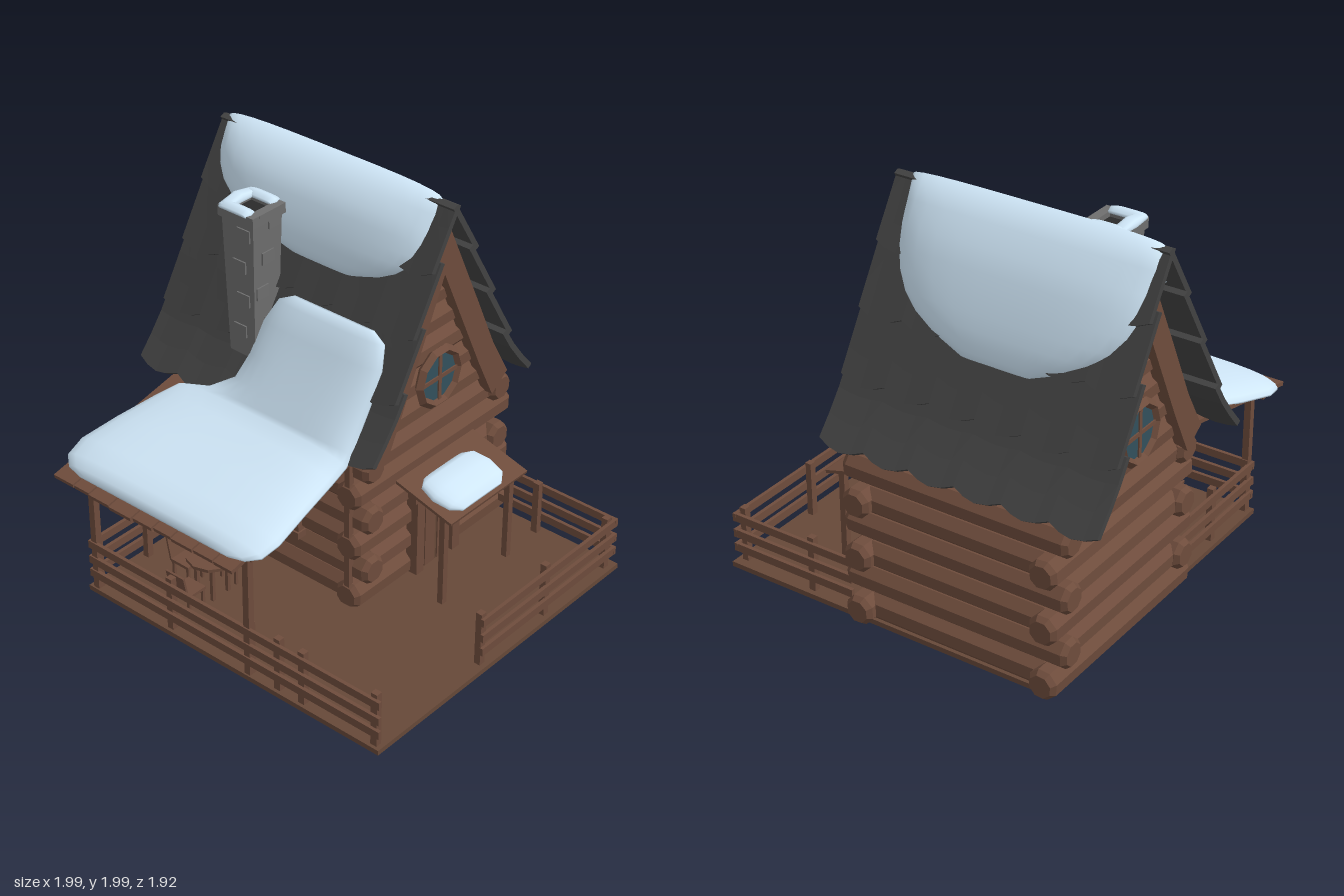
import * as THREE from 'three';

const mat = (color, flatShading = true) => new THREE.MeshStandardMaterial({ color, flatShading, roughness: 0.9 });
const wood = mat(0x6e4c3c), deckWood = mat(0x664838), slate = mat(0x424242), stone = mat(0x6e6e6e);
const soot = mat(0x2a2a2a), glass = mat(0x33505c), snow = mat(0xcfe6f7, false);

let seed = 7;
const rand = () => (seed = (seed * 16807) % 2147483647) / 2147483647;

function add(parent, name, geometry, material, x = 0, y = 0, z = 0) {
  const m = new THREE.Mesh(geometry, material);
  m.name = name;
  m.position.set(x, y, z);
  parent.add(m);
  return m;
}
function group(parent, name) {
  const g = new THREE.Group();
  g.name = name;
  parent.add(g);
  return g;
}
// box given by its min and max on every axis
function box(parent, name, x0, x1, y0, y1, z0, z1, material = wood) {
  return add(parent, name, new THREE.BoxGeometry(x1 - x0, y1 - y0, z1 - z0), material, (x0 + x1) / 2, (y0 + y1) / 2, (z0 + z1) / 2);
}
// eight-sided log with bevelled ends, lying along 'x' or 'z'
function log(parent, axis, length, x, y, z, r = 0.074) {
  const h = length / 2, pts = [[0, -h], [r * 0.75, -h], [r, 0.025 - h], [r, h - 0.025], [r * 0.75, h], [0, h]];
  const g = new THREE.LatheGeometry(pts.map(p => new THREE.Vector2(...p)), 8);
  g.rotateY(Math.PI / 8 + (rand() - 0.5) * 0.2);
  if (axis === 'x') g.rotateZ(Math.PI / 2); else g.rotateX(Math.PI / 2);
  return add(parent, 'log', g, wood, x, y, z);
}
// closed solid through a row of closed rings, capped and wound outward
function loft(rings) {
  const n = rings[0].length, pos = rings.flat(), idx = [];
  const quad = (a, b, c, d) => idx.push(a, b, c, a, c, d);
  for (let i = 0; i < rings.length - 1; i++)
    for (let j = 0; j < n; j++) {
      const k = (j + 1) % n;
      quad(i * n + j, i * n + k, (i + 1) * n + k, (i + 1) * n + j);
    }
  // rings are mirrored strips, so opposite points pair up for the caps
  for (let j = 0; j < n / 2 - 1; j++) {
    const e = (rings.length - 1) * n;
    quad(n - 1 - j, n - 2 - j, j + 1, j);
    quad(e + j, e + j + 1, e + n - 2 - j, e + n - 1 - j);
  }
  let volume = 0;
  for (let i = 0; i < idx.length; i += 3)
    volume += pos[idx[i]].dot(pos[idx[i + 1]].clone().cross(pos[idx[i + 2]]));
  if (volume < 0) idx.reverse();
  const g = new THREE.BufferGeometry().setFromPoints(pos);
  g.setIndex(idx);
  g.computeVertexNormals();
  return g;
}
// snow pillow along a path; stations are [z, y, xLeft, xRight, thickness]
function pillow(stations, across = 14) {
  return loft(stations.map(([z, y, lo, hi, h], i) => {
    const a = stations[Math.max(0, i - 1)], b = stations[Math.min(stations.length - 1, i + 1)];
    const nrm = new THREE.Vector2(-(b[1] - a[1]), b[0] - a[0]).normalize();
    const row = top => Array.from({ length: across + 1 }, (_, k) => {
      const u = Math.sin((k / across - 0.5) * Math.PI);
      const o = top ? h * Math.sqrt(Math.max(0, 1 - u ** 4)) + 0.004 : -0.004;
      return new THREE.Vector3((lo + hi) / 2 + u * (hi - lo) / 2, y + nrm.y * o, z + nrm.x * o);
    });
    return [...row(true), ...row(false).reverse()];
  }));
}

const XC = -0.255, ZC = -0.35;
const slope = new THREE.SplineCurve([[0, 1.96], [0.14, 1.66], [0.29, 1.34], [0.42, 1.07], [0.56, 0.86]].map(p => new THREE.Vector2(...p)));

function walls(root) {
  const g = group(root, 'logWalls');
  for (let i = 0; i < 6; i++) {
    const y = 0.09 + 0.138 * i, alongX = i % 2;
    for (const s of [-1, 1]) {
      log(g, 'x', alongX ? 1.16 : 0.95, XC, y, -0.375 + s * 0.455);
      log(g, 'z', alongX ? 0.9 : 1.12, XC + s * 0.485, y, -0.385);
    }
  }
}

function gable(root, s) {
  const g = group(root, s > 0 ? 'leftGable' : 'rightGable');
  for (let i = 0; i < 6; i++) {
    const y = 0.918 + 0.138 * i;
    log(g, 'z', 2 * (0.45 - 0.075 * i), XC + s * 0.485, y, ZC);
  }
  // bargeboards
  const half = [[0, 1.88], [0.25, 1.35], [0.37, 1.09], [0.49, 0.88], [0.38, 0.8], [0.27, 1.02], [0, 1.6]];
  for (const m of [-1, 1]) {
    const shape = new THREE.Shape(half.map(([d, y]) => new THREE.Vector2(d * m, y)));
    const geo = new THREE.ExtrudeGeometry(shape, { depth: 0.06, bevelEnabled: false });
    geo.translate(0, 0, -0.03);
    add(g, 'bargeboard', geo, wood, XC + s * 0.565, 0, ZC).rotation.y = Math.PI / 2;
  }
  // round window
  const wx = XC + s * 0.565, wy = 1.07;
  add(g, 'windowGlass', new THREE.CylinderGeometry(0.135, 0.135, 0.03, 10), glass, wx, wy, ZC).rotation.z = Math.PI / 2;
  add(g, 'windowFrame', new THREE.TorusGeometry(0.135, 0.025, 4, 10), wood, wx + s * 0.01, wy, ZC).rotation.y = Math.PI / 2;
  box(g, 'windowBar', wx - 0.022, wx + 0.022, wy - 0.13, wy + 0.13, ZC - 0.01, ZC + 0.01);
  box(g, 'windowBar', wx - 0.022, wx + 0.022, wy - 0.01, wy + 0.01, ZC - 0.13, ZC + 0.13);
}

function roof(root) {
  const g = group(root, 'shingleRoof'), edges = [0, 0.28, 0.52, 0.76, 1], cols = 6, step = 4;
  for (const s of [-1, 1])
    for (let r = 0; r < 4; r++) {
      const ta = r ? edges[r] - 0.07 : 0, x0 = -0.965 - 0.011 * r, x1 = 0.395 + 0.008 * r, rings = [];
      for (let i = 0; i <= cols * step; i++) {
        const tb = edges[r + 1] - 0.028 * (1 - Math.sin(Math.PI * (i % step) / step));
        const row = thick => [0, 1, 2, 3].map(v => {
          const t = ta + (tb - ta) * v / 3, p = slope.getPointAt(t), q = slope.getTangentAt(t);
          const o = 0.012 * v - thick;
          return new THREE.Vector3(x0 + (x1 - x0) * i / (cols * step), p.y + q.x * o, ZC + s * (p.x - q.y * o));
        });
        rings.push([...row(0), ...row(0.028).reverse()]);
      }
      add(g, 'shingleRow', loft(rings), slate);
    }
  // snow over the ridge
  const st = [];
  for (let i = -10; i <= 10; i++) {
    const k = Math.sin(i / 20 * Math.PI), a = Math.abs(k), p = slope.getPointAt(a * (k > 0 ? 0.38 : 0.55));
    const half = 0.62 * Math.max(0.3, Math.sqrt(1 - a ** 3.5));
    const cx = -0.31 + (k > 0 ? 0.12 * a ** 3 : 0);
    st.push([ZC + Math.sign(k) * p.x, p.y, cx - half, cx + half, (0.025 + 0.06 * Math.min(1, a * 3)) * Math.sqrt(1 - a ** 4) + 0.004]);
  }
  add(g, 'ridgeSnow', pillow(st), snow);
}

function chimney(root) {
  const g = group(root, 'chimney'), cx = -0.465, cz = 0.01;
  const ring = (h, y) => [[-h, -h], [h, -h], [h, h], [-h, h]].map(([x, z]) => new THREE.Vector3(cx + x, y, cz + z));
  add(g, 'shaft', loft([ring(0.076, 1.05), ring(0.094, 1.78)]), stone);
  for (let i = 0; i < 14; i++) {
    const y = 1.2 + 0.042 * i, h = 0.076 + 0.018 * (y - 1.05) / 0.73, o = (rand() - 0.5) * 0.09;
    const s = i % 4 < 2 ? 1 : -1, x = i % 2 ? s * h : o, z = i % 2 ? o : s * h;
    add(g, 'raisedStone', new THREE.BoxGeometry(i % 2 ? 0.016 : 0.075, 0.06, i % 2 ? 0.075 : 0.016), stone, cx + x, y, cz + z);
  }
  box(g, 'flue', cx - 0.06, cx + 0.06, 1.77, 1.785, cz - 0.06, cz + 0.06, soot);
  for (const s of [-1, 1]) {
    add(g, 'cap', new THREE.BoxGeometry(0.21, 0.05, 0.045), stone, cx, 1.785, cz + s * 0.084);
    add(g, 'cap', new THREE.BoxGeometry(0.045, 0.05, 0.13), stone, cx + s * 0.083, 1.785, cz);
    const z = cz + s * 0.082;
    add(g, 'capSnow', pillow([[z - 0.03, 1.808, -0.56, -0.4, 0.008], [z, 1.81, -0.57, -0.39, 0.02], [z + 0.03, 1.808, -0.56, -0.4, 0.008]], 8), snow);
  }
  add(g, 'capSnow', pillow([[-0.09, 1.808, -0.57, -0.51, 0.01], [0.01, 1.81, -0.58, -0.51, 0.025], [0.11, 1.808, -0.57, -0.51, 0.01]], 8), snow);
}

function porch(root) {
  const g = group(root, 'frontPorch');
  // sloping roof planks of uneven length
  const cuts = [-0.82, -0.69, -0.59, -0.46, -0.32, -0.2, -0.09, 0.04, 0.16, 0.275];
  for (let i = 0; i < cuts.length - 1; i++) {
    const len = 0.82 + rand() * 0.02, a = 0.21;
    const m = add(g, 'roofPlank', new THREE.BoxGeometry(cuts[i + 1] - cuts[i] - 0.008, 0.02, len), wood,
      (cuts[i] + cuts[i + 1]) / 2, 0.865 - Math.sin(a) * len / 2, 0.15 + Math.cos(a) * len / 2);
    m.rotation.x = a;
  }
  box(g, 'beam', -0.8, 0.27, 0.675, 0.705, 0.8, 0.835);
  for (const x of [-0.72, 0.23]) {
    box(g, 'post', x - 0.017, x + 0.017, 0.04, 0.69, 0.803, 0.837);
    box(g, 'post', x - 0.015, x + 0.015, 0.04, 0.83, 0.14, 0.17);
  }
  add(g, 'porchSnow', pillow([
    [-0.04, 1.4, -0.26, 0.2, 0.01], [-0.03, 1.36, -0.34, 0.27, 0.05], [0.01, 1.25, -0.39, 0.29, 0.07],
    [0.08, 1.1, -0.41, 0.285, 0.085], [0.15, 0.99, -0.44, 0.285, 0.09], [0.2, 0.91, -0.56, 0.29, 0.09],
    [0.25, 0.87, -0.72, 0.295, 0.085], [0.35, 0.835, -0.77, 0.3, 0.08], [0.55, 0.79, -0.83, 0.32, 0.07],
    [0.74, 0.75, -0.87, 0.345, 0.065], [0.84, 0.73, -0.85, 0.335, 0.055], [0.89, 0.72, -0.79, 0.28, 0.035], [0.91, 0.715, -0.7, 0.2, 0.008]]), snow);
  // front window
  const w = group(g, 'frontWindow');
  box(w, 'pane', -0.43, -0.09, 0.3, 0.66, 0.12, 0.152);
  for (const x of [-0.42, -0.09]) box(w, 'jamb', x - 0.032, x + 0.032, 0.3, 0.66, 0.13, 0.175);
  box(w, 'lintel', -0.48, -0.04, 0.65, 0.69, 0.13, 0.185);
  box(w, 'sill', -0.47, -0.05, 0.28, 0.315, 0.13, 0.185);
  box(w, 'mullion', -0.275, -0.235, 0.3, 0.66, 0.14, 0.168);
  for (const y of [0.46, 0.59]) box(w, 'mullion', -0.42, -0.09, y - 0.012, y + 0.012, 0.14, 0.168);
}

function sideEntrance(root) {
  const g = group(root, 'sideEntrance');
  const canopy = box(g, 'canopy', 0.27, 0.625, 0.57, 0.585, -0.65, -0.09);
  canopy.rotation.z = -0.27;
  add(g, 'canopySnow', pillow([[0.37, 0.608, 0.2, 0.48, 0.01], [0.4, 0.602, 0.15, 0.53, 0.03], [0.48, 0.578, 0.13, 0.55, 0.045],
    [0.56, 0.556, 0.15, 0.54, 0.03], [0.6, 0.545, 0.2, 0.48, 0.008]]), snow).rotation.y = Math.PI / 2;
  for (const z of [-0.13, -0.61]) box(g, 'canopyPost', 0.535, 0.565, 0.04, 0.54, z - 0.016, z + 0.016);
  box(g, 'doorPanel', 0.27, 0.315, 0.04, 0.48, -0.5, -0.23, deckWood);
  for (const z of [-0.235, -0.5]) box(g, 'doorJamb', 0.27, 0.335, 0.04, 0.48, z - 0.027, z + 0.027);
  box(g, 'doorLintel', 0.27, 0.345, 0.465, 0.515, -0.56, -0.18);
  for (const z of [-0.32, -0.41]) box(g, 'doorPlank', 0.3, 0.322, 0.05, 0.46, z - 0.035, z + 0.035);
  add(g, 'doorKnob', new THREE.SphereGeometry(0.013, 6, 4), soot, 0.332, 0.25, -0.43);
}

function fence(root, alongX, from, to, at, posts) {
  const g = group(root, 'fence');
  const bar = (a, b, y0, y1, t0, t1) => alongX ? box(g, 'rail', a, b, y0, y1, t0, t1) : box(g, 'rail', t0, t1, y0, y1, a, b);
  const inward = -Math.sign(at) * 0.022;
  for (const y of [0.125, 0.2, 0.285]) bar(from, to, y - 0.02, y + 0.02, at - 0.009, at + 0.009);
  for (const p of posts) bar(p - 0.017, p + 0.017, 0.04, 0.325, at + inward - 0.016, at + inward + 0.016).name = 'fencePost';
}

function furniture(root) {
  const g = group(root, 'terraceFurniture'), cx = -0.3, cz = 0.5;
  add(g, 'tableTop', new THREE.CylinderGeometry(0.12, 0.12, 0.016, 10), wood, cx, 0.243, cz);
  for (const [x, z] of [[1, 1], [1, -1], [-1, 1], [-1, -1]]) add(g, 'tableLeg', new THREE.BoxGeometry(0.018, 0.2, 0.018), wood, cx + x * 0.05, 0.14, cz + z * 0.05);
  [0, -Math.PI / 2, Math.PI].forEach(turn => {
    const c = group(g, 'chair');
    c.position.set(cx, 0, cz);
    c.rotation.y = turn;
    box(c, 'seat', -0.055, 0.055, 0.14, 0.155, 0.1, 0.21);
    for (const x of [-0.045, 0.045]) for (const z of [0.11, 0.2]) box(c, 'chairLeg', x - 0.007, x + 0.007, 0.04, 0.145, z - 0.007, z + 0.007);
    add(c, 'chairBack', new THREE.BoxGeometry(0.11, 0.13, 0.01), wood, 0, 0.21, 0.225).rotation.x = 0.2;
  });
}

export function createModel() {
  const root = new THREE.Group();
  root.name = 'snowyLogCabin';
  box(root, 'houseBase', -0.73, 0.2, 0, 0.03, -0.77, 0.09, deckWood);
  box(root, 'deck', -0.76, 0.99, 0.02, 0.045, -0.9, 0.845, deckWood);
  walls(root);
  for (const s of [-1, 1]) gable(root, s);
  roof(root);
  chimney(root);
  porch(root);
  sideEntrance(root);
  fence(root, true, -0.75, 0.99, 0.835, [-0.72, -0.25, 0.23, 0.4, 0.54, 0.95]);
  fence(root, true, 0.3, 0.98, -0.88, [0.54]);
  fence(root, false, -0.89, 0.12, 0.97, [-0.84, -0.37, 0.1]);
  fence(root, false, 0.15, 0.83, -0.74, [0.17, 0.5]);
  furniture(root);
  return root;
}
